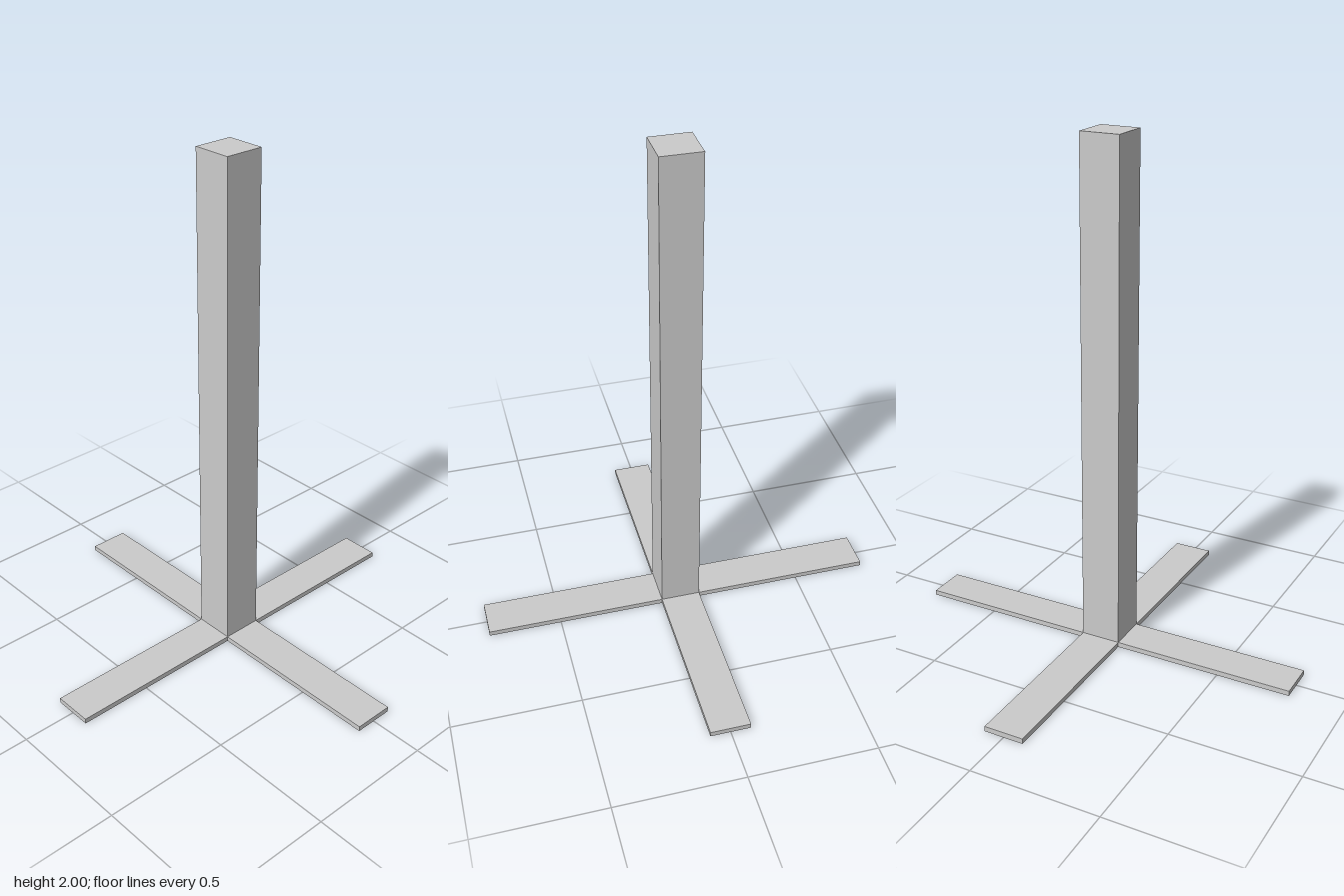
import * as THREE from 'three';

const HALF = 0.0785;   // half width of post and feet
const REACH = 0.79;    // foot length from the centre
const THICK = 0.02;    // foot plate thickness
const HEIGHT = 2;

export function createModel() {
  const model = new THREE.Group();
  model.name = 'postStand';
  const material = new THREE.MeshStandardMaterial({ color: 0xcccccc, flatShading: true });

  // Flat cross-shaped base: one arm outline repeated at quarter turns
  const outline = [];
  for (let i = 0; i < 4; i++) {
    for (const [x, y] of [[HALF, -HALF], [REACH, -HALF], [REACH, HALF]]) {
      outline.push(new THREE.Vector2(x, y).rotateAround(new THREE.Vector2(), i * Math.PI / 2));
    }
  }
  const baseGeometry = new THREE.ExtrudeGeometry(new THREE.Shape(outline), { depth: THICK, bevelEnabled: false });
  baseGeometry.rotateX(-Math.PI / 2);
  const base = new THREE.Mesh(baseGeometry, material);
  base.name = 'crossBase';
  model.add(base);

  // Square upright post standing on the base
  const post = new THREE.Mesh(new THREE.BoxGeometry(2 * HALF, HEIGHT - THICK, 2 * HALF), material);
  post.name = 'post';
  post.position.y = (HEIGHT + THICK) / 2;
  model.add(post);

  return model;
}
